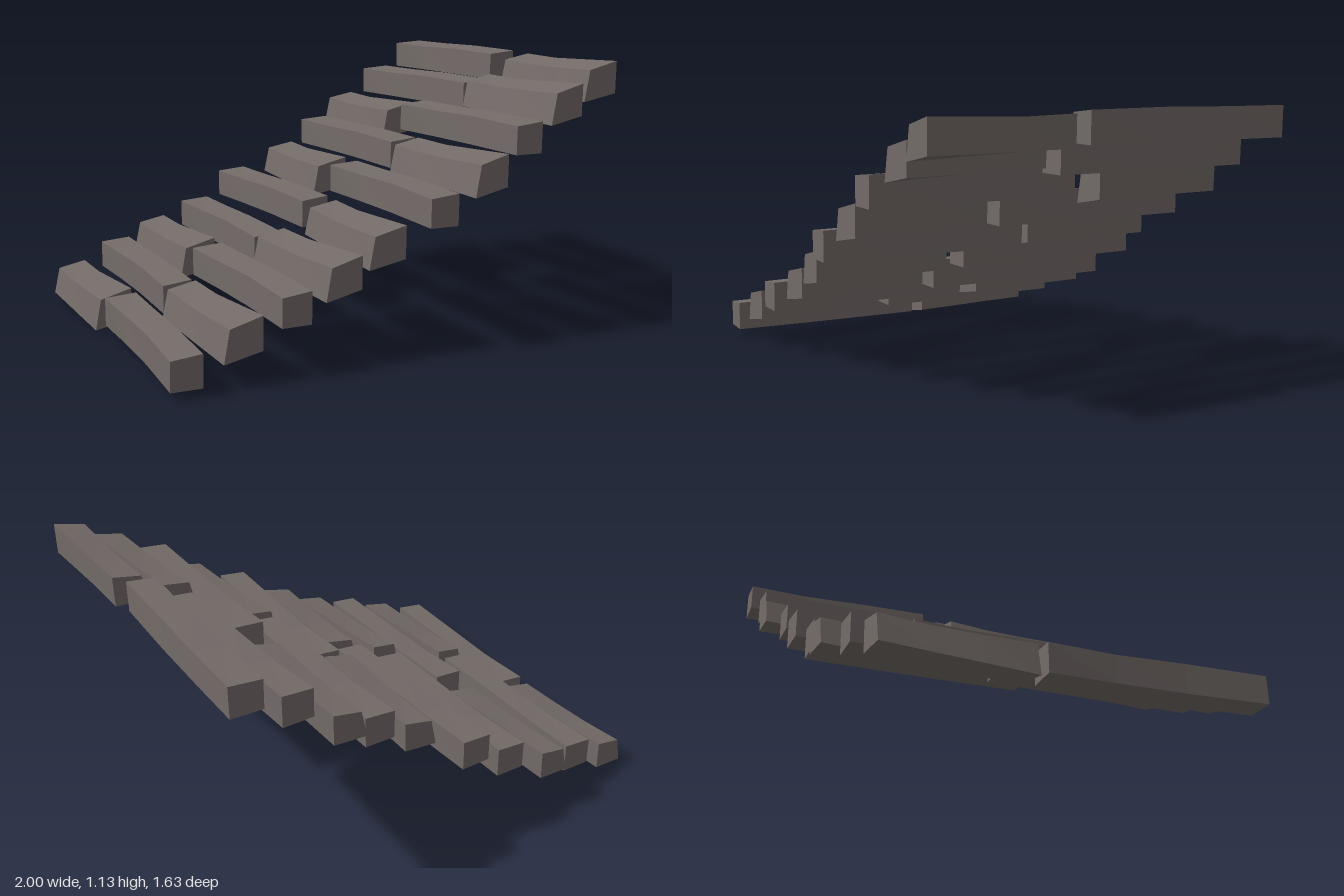
import * as THREE from 'three';

// Cross-sections from the back end to the front end: position t along the stone,
// then corners [x, y] in order bottom left, bottom right, top right, top left.
const LONG = {
  length: 0.89,
  sections: [
    [0.0, [[-0.065, 0], [0.065, 0], [0.067, 0.128], [-0.065, 0.118]]],
    [0.3, [[-0.055, 0], [0.067, 0], [0.067, 0.128], [-0.052, 0.114]]],
    [0.62, [[-0.052, 0], [0.067, 0], [0.066, 0.132], [-0.05, 0.12]]],
    [1.0, [[-0.062, 0], [0.06, 0], [0.062, 0.128], [-0.06, 0.115]]],
  ],
};
const SHORT = {
  length: 0.6,
  sections: [
    [0.0, [[-0.073, 0.022], [0.07, 0.032], [0.073, 0.158], [-0.048, 0.135]]],
    [0.35, [[-0.075, 0.014], [0.068, 0.031], [0.07, 0.152], [-0.05, 0.125]]],
    [0.65, [[-0.078, 0.008], [0.072, 0.03], [0.074, 0.157], [-0.053, 0.125]]],
    [1.0, [[-0.08, 0], [0.078, 0.03], [0.08, 0.163], [-0.055, 0.13]]],
  ],
};

// Steps from lowest to highest; each stone: centre x at back, at front, base y, back z
const STEPS = [
  { long: [-0.89, -0.93, 0.03, -0.08], short: [-0.93, -0.905, 0.0, -0.73] },
  { long: [-0.7, -0.715, 0.115, -0.755], short: [-0.728, -0.702, 0.095, 0.19] },
  { long: [-0.493, -0.49, 0.2, -0.095], short: [-0.508, -0.49, 0.16, -0.815] },
  { long: [-0.288, -0.297, 0.27, -0.785], short: [-0.317, -0.275, 0.265, 0.16] },
  { long: [-0.08, -0.06, 0.4, -0.81], short: [-0.074, -0.088, 0.365, 0.16] },
  { long: [0.165, 0.135, 0.515, -0.08], short: [0.14, 0.12, 0.492, -0.73] },
  { long: [0.35, 0.345, 0.637, -0.755], short: [0.32, 0.365, 0.613, 0.19] },
  { long: [0.535, 0.535, 0.77, -0.095], short: [0.523, 0.524, 0.715, -0.815] },
  { long: [0.72, 0.738, 0.877, -0.785], short: [0.708, 0.745, 0.873, 0.16] },
  { long: [0.933, 0.9, 1.0, -0.81], short: [0.913, 0.91, 0.96, 0.16] },
];

// Loft one stone through its sections, turned slightly by the offset of its ends
function stoneGeometry({ length, sections }, [xBack, xFront, y0, zBack]) {
  const slope = (xFront - xBack) / length;
  const rings = sections.map(([t, corners]) => corners.map(([x, y]) => [
    xBack + (xFront - xBack) * t + x, y0 + y, zBack + length * t - slope * x,
  ]));
  const pos = [];
  const quad = (a, b, c, d) => pos.push(...a, ...b, ...c, ...a, ...c, ...d);
  for (let i = 0; i < rings.length - 1; i++) {
    for (let j = 0; j < 4; j++) {
      const k = (j + 1) % 4;
      quad(rings[i][j], rings[i][k], rings[i + 1][k], rings[i + 1][j]);
    }
  }
  const back = rings[0], front = rings[rings.length - 1];
  quad(front[0], front[1], front[2], front[3]);
  quad(back[3], back[2], back[1], back[0]);
  const geo = new THREE.BufferGeometry();
  geo.setAttribute('position', new THREE.Float32BufferAttribute(pos, 3));
  geo.computeVertexNormals();
  return geo;
}

export function createModel() {
  const model = new THREE.Group();
  model.name = 'stoneStairs';
  const stone = new THREE.MeshStandardMaterial({ color: 0x736b68, flatShading: true });

  // Each step is one long and one short stone laid end to end
  STEPS.forEach((step, i) => {
    const group = new THREE.Group();
    group.name = `step${i + 1}`;
    const longStone = new THREE.Mesh(stoneGeometry(LONG, step.long), stone);
    longStone.name = 'longStone';
    const shortStone = new THREE.Mesh(stoneGeometry(SHORT, step.short), stone);
    shortStone.name = 'shortStone';
    group.add(longStone, shortStone);
    model.add(group);
  });
  return model;
}
